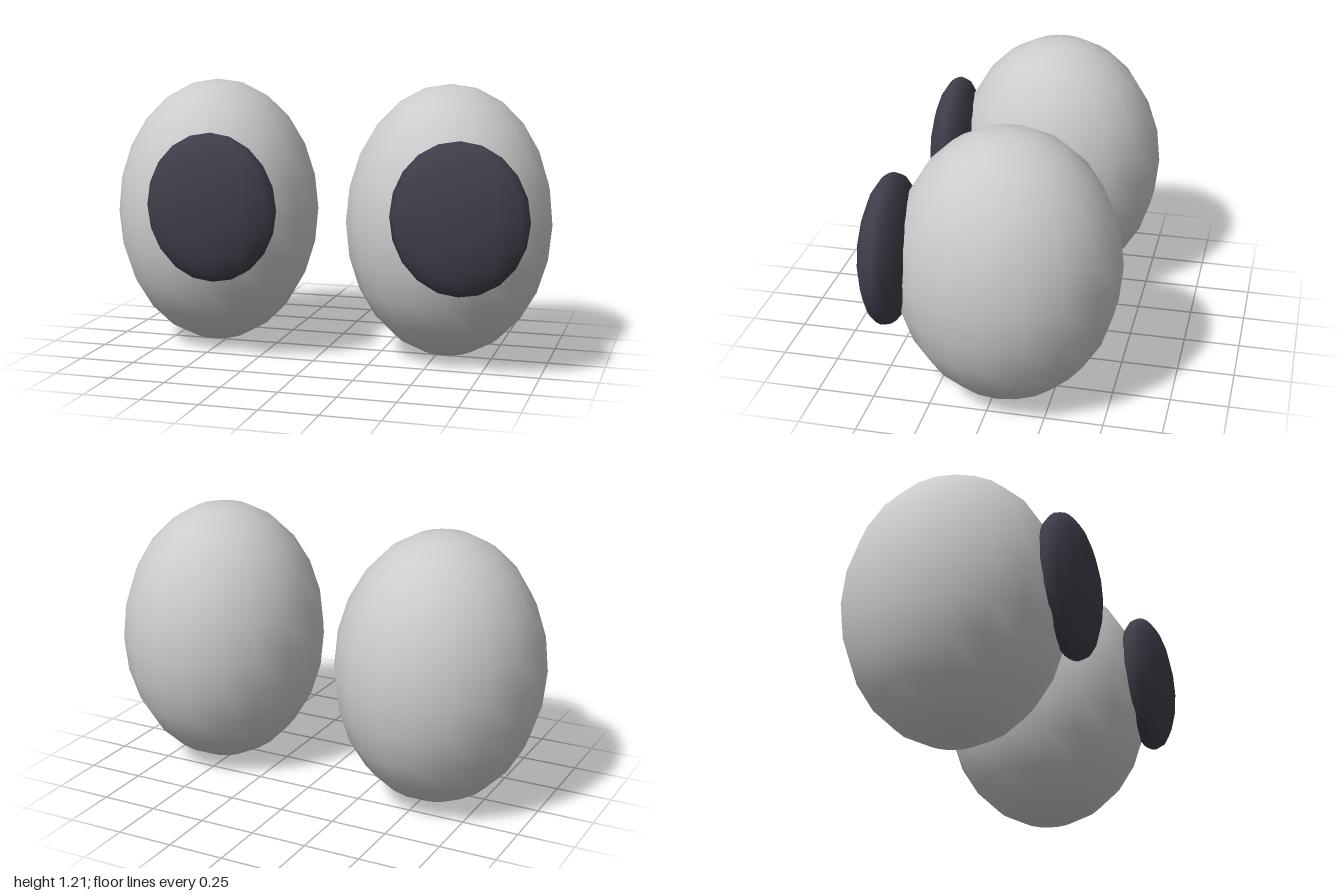
import * as THREE from 'three';

// Smooth ellipsoid with its poles on the y axis
function ellipsoid(name, segments, rings, radii, position, material) {
  const geometry = new THREE.SphereGeometry(1, segments, rings);
  geometry.scale(...radii);
  const mesh = new THREE.Mesh(geometry, material);
  mesh.name = name;
  mesh.position.set(...position);
  return mesh;
}

export function createModel() {
  const model = new THREE.Group();
  model.name = 'eyes';
  const white = new THREE.MeshStandardMaterial({ color: 0xcccccc });
  const dark = new THREE.MeshStandardMaterial({ color: 0x403d4a });

  // Two identical eyes; both pupils look up and towards +x
  for (const [side, x] of [['right', -0.542], ['left', 0.542]]) {
    const eye = new THREE.Group();
    eye.name = side + 'Eye';
    eye.position.x = x;
    eye.add(
      ellipsoid('eyeball', 18, 12, [0.457, 0.605, 0.484], [0, 0.605, -0.048], white),
      ellipsoid('pupil', 14, 10, [0.295, 0.325, 0.11], [0.135, 0.692, 0.417], dark),
    );
    model.add(eye);
  }
  return model;
}
